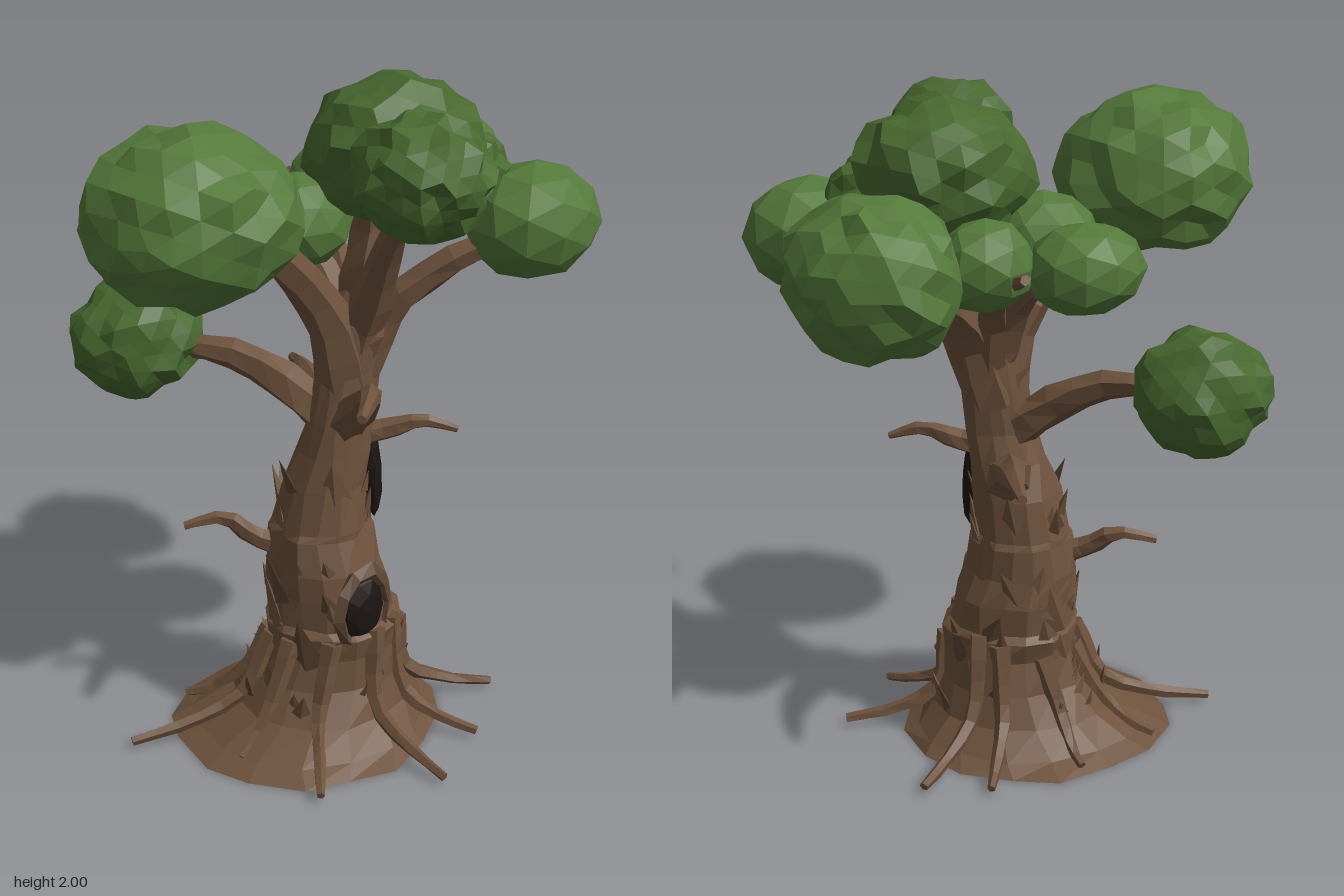
import * as THREE from 'three';

const V = (x, y, z) => new THREE.Vector3(x, y, z);
const mat = (color) => new THREE.MeshStandardMaterial({ color, flatShading: true, roughness: 1 });
const bark = mat(0x6e523c), darkBark = mat(0x5c4432), hollowMat = mat(0x1c1512);
const leafLight = mat(0x54793a), leafDark = mat(0x48692f);

// repeatable random numbers
let seed = 7;
const rand = () => (seed = (seed * 16807) % 2147483647) / 2147483647;

// same number for the same position, so shared corners stay together
function hash(v, k) {
  const s = Math.sin(Math.round(v.x * 500) * 1.27 + Math.round(v.y * 500) * 3.11 + Math.round(v.z * 500) * 7.45 + k) * 4375.85;
  return s - Math.floor(s);
}

// skin over a list of rings of points, closed at both ends
function loft(rings) {
  const n = rings[0].length, pos = [], idx = [];
  rings.forEach((r) => r.forEach((p) => pos.push(p.x, p.y, p.z)));
  for (let i = 0; i < rings.length - 1; i++) {
    for (let j = 0; j < n; j++) {
      const k = (j + 1) % n, a = i * n, b = a + n;
      idx.push(a + j, a + k, b + k, a + j, b + k, b + j);
    }
  }
  const top = (rings.length - 1) * n;
  for (let j = 1; j < n - 1; j++) idx.push(0, j + 1, j, top, top + j, top + j + 1);
  let g = new THREE.BufferGeometry();
  g.setAttribute('position', new THREE.Float32BufferAttribute(pos, 3));
  g.setIndex(idx);
  g = g.toNonIndexed();
  g.computeVertexNormals();
  return g;
}

// tapering bent limb through a few points
function limb(points, r0, r1, sides = 6, steps = 7) {
  const curve = new THREE.CatmullRomCurve3(points.map((p) => V(...p)));
  const f = curve.computeFrenetFrames(steps);
  const rings = [];
  for (let i = 0; i <= steps; i++) {
    const c = curve.getPointAt(i / steps), r = THREE.MathUtils.lerp(r0, r1, i / steps);
    rings.push(Array.from({ length: sides }, (_, j) => {
      const a = (j / sides) * Math.PI * 2, q = r * (0.85 + 0.3 * rand());
      const p = c.clone().addScaledVector(f.normals[i], Math.cos(a) * q).addScaledVector(f.binormals[i], Math.sin(a) * q);
      p.y = Math.max(p.y, 0);
      return p;
    }));
  }
  return loft(rings);
}

// trunk sections: y, centre x, centre z, radius x, radius z
const SECTIONS = [
  [0, -0.08, 0.04, 0.42, 0.40], [0.03, -0.07, 0.05, 0.37, 0.35], [0.1, -0.04, 0.06, 0.285, 0.265],
  [0.19, -0.01, 0.065, 0.23, 0.215], [0.29, -0.005, 0.08, 0.205, 0.2], [0.36, -0.01, 0.08, 0.21, 0.215],
  [0.38, -0.01, 0.075, 0.19, 0.19], [0.47, -0.02, 0.065, 0.185, 0.195], [0.55, -0.03, 0.055, 0.165, 0.17],
  [0.65, -0.025, 0.045, 0.155, 0.155], [0.67, -0.025, 0.045, 0.145, 0.145], [0.8, -0.01, 0.05, 0.135, 0.125],
  [0.9, 0.01, 0.07, 0.118, 0.105], [1.0, 0.025, 0.08, 0.11, 0.09], [1.15, 0.05, 0.08, 0.1, 0.088],
  [1.3, 0.07, 0.09, 0.1, 0.088], [1.4, 0.09, 0.1, 0.06, 0.06],
];
function trunkPoint(y, a, k = 1) {
  let i = 0;
  while (i < SECTIONS.length - 2 && SECTIONS[i + 1][0] < y) i++;
  const A = SECTIONS[i], B = SECTIONS[i + 1], t = (y - A[0]) / (B[0] - A[0]);
  const [cx, cz, rx, rz] = [1, 2, 3, 4].map((n) => THREE.MathUtils.lerp(A[n], B[n], t));
  return V(cx + Math.sin(a) * rx * k, y, cz + Math.cos(a) * rz * k);
}

// main and side branches: points, start radius, end radius
const BRANCHES = {
  limbLeft: [[[0.03, 1.1, 0.08], [-0.04, 1.33, 0.08], [-0.2, 1.53, 0.06], [-0.36, 1.64, 0.05]], 0.085, 0.04],
  limbRight: [[[0.07, 1.1, 0.07], [0.15, 1.32, 0.05], [0.3, 1.46, -0.03], [0.5, 1.56, -0.12]], 0.08, 0.04],
  limbCentre: [[[0.07, 1.2, 0.09], [0.1, 1.42, 0.11], [0.14, 1.7, 0.12]], 0.09, 0.06],
  limbFrontRight: [[[0.08, 1.15, 0.1], [0.14, 1.34, 0.16], [0.25, 1.46, 0.27], [0.4, 1.55, 0.38]], 0.07, 0.035],
  limbFront: [[[0.05, 1.2, 0.1], [0.05, 1.4, 0.18], [0, 1.6, 0.3], [-0.05, 1.75, 0.42]], 0.07, 0.03],
  limbBack: [[[0.06, 1.2, 0.07], [0.05, 1.4, -0.02], [0.03, 1.52, -0.16], [0.02, 1.57, -0.3]], 0.065, 0.03],
  limbBackRight: [[[0.08, 1.2, 0.06], [0.14, 1.4, -0.05], [0.22, 1.52, -0.22], [0.26, 1.6, -0.4]], 0.06, 0.015],
  branchFront: [[[0, 0.98, 0.1], [-0.04, 1.1, 0.24], [-0.12, 1.18, 0.34], [-0.25, 1.18, 0.44]], 0.065, 0.014],
  branchBackLeft: [[[0, 1.0, 0.05], [-0.07, 1.09, -0.06], [-0.16, 1.17, -0.18], [-0.3, 1.18, -0.4]], 0.07, 0.025],
  branchBackRight: [[[0.02, 0.84, 0.04], [0.1, 0.91, -0.08], [0.19, 0.98, -0.23], [0.27, 0.98, -0.4]], 0.08, 0.014],
  branchFrontRight: [[[0.05, 0.93, 0.1], [0.14, 0.96, 0.18], [0.2, 0.98, 0.24], [0.28, 0.95, 0.31]], 0.045, 0.01],
  branchLowLeft: [[[-0.1, 0.58, 0], [-0.18, 0.61, -0.07], [-0.24, 0.67, -0.15], [-0.34, 0.65, -0.22]], 0.045, 0.012],
};

// root tips: x, z
const ROOTS = [[0.46, -0.16], [0.45, 0.33], [-0.05, 0.6], [-0.6, -0.18], [0, -0.32],
  [-0.38, 0.42], [0.2, 0.5], [0.3, -0.28], [-0.42, 0.12], [-0.3, -0.28]];

// leaf clumps: x, y, z, radii, roughness, material
const CLUMPS = [
  [-0.51, 1.715, 0.05, 0.31, 0.25, 0.3, 0.14, leafLight], [-0.31, 1.195, -0.445, 0.215, 0.19, 0.2, 0.16, leafDark],
  [0.02, 1.58, -0.335, 0.175, 0.13, 0.15, 0.05, leafLight], [0.58, 1.6, -0.155, 0.24, 0.235, 0.28, 0.16, leafLight],
  [0.27, 1.6, -0.22, 0.14, 0.13, 0.13, 0.05, leafLight], [0.19, 1.78, 0.12, 0.27, 0.225, 0.28, 0.16, leafDark],
  [-0.05, 1.815, 0.45, 0.2, 0.175, 0.2, 0.2, leafDark], [0.455, 1.585, 0.415, 0.21, 0.17, 0.185, 0.05, leafLight],
  [-0.05, 1.59, -0.03, 0.165, 0.14, 0.155, 0.05, leafLight], [0.33, 1.7, 0.22, 0.17, 0.16, 0.18, 0.2, leafDark],
];

export function createModel() {
  const tree = new THREE.Group();
  tree.name = 'tree';
  const add = (name, geo, material, parent = tree) => {
    const m = new THREE.Mesh(geo, material);
    m.name = name;
    parent.add(m);
    return m;
  };
  const group = (name) => {
    const g = new THREE.Group();
    g.name = name;
    tree.add(g);
    return g;
  };

  // trunk with flared foot
  add('trunk', loft(SECTIONS.map(([y]) => Array.from({ length: 16 }, (_, j) =>
    trunkPoint(y, (j / 16) * Math.PI * 2 + (rand() - 0.5) * 0.12, 0.95 + rand() * 0.1)))), bark);

  // roots run down the trunk and out along the ground
  const roots = group('roots');
  ROOTS.forEach(([x, z], i) => {
    const a = Math.atan2(x + 0.02, z - 0.06), h = 0.26 + 0.12 * rand();
    const p = trunkPoint(h, a, 0.96), q = trunkPoint(0.13, a, 1);
    const mid = V(x, 0.05, z).lerp(q, 0.5);
    add('root' + (i + 1), limb([p.toArray(), q.toArray(), [mid.x, 0.055, mid.z], [x, 0.025, z]], 0.034, 0.014, 5, 8), bark, roots);
  });

  // bark chips, thin wedges lying against the trunk
  const chips = group('barkChips');
  for (let i = 0; i < 56; i++) {
    const y = 0.12 + 0.75 * Math.pow(rand(), 1.4), a = rand() * Math.PI * 2;
    if (y > 0.28 && y < 0.62 && Math.abs(Math.sin(a / 2)) < 0.3) continue;
    const s = 0.035 + 0.035 * rand();
    const chip = add('barkChip', new THREE.ConeGeometry(s, s * 2.6, 4), i % 3 ? bark : darkBark, chips);
    chip.position.copy(trunkPoint(y, a, 0.98));
    chip.scale.z = 0.4;
    chip.rotation.set(0.12 + rand() * 0.25, a, (rand() - 0.5) * 0.9, 'YXZ');
  }

  // branches
  const branches = group('branches');
  for (const [name, [points, r0, r1]] of Object.entries(BRANCHES)) add(name, limb(points, r0, r1), bark, branches);

  // round hollow with a ragged rim, and a narrow slit
  const hollow = add('hollow', new THREE.IcosahedronGeometry(1, 1), hollowMat);
  hollow.position.set(-0.045, 0.44, 0.235);
  hollow.scale.set(0.085, 0.115, 0.05);
  const rimGeo = new THREE.TorusGeometry(0.095, 0.022, 4, 10);
  const rp = rimGeo.attributes.position, v = V(0, 0, 0);
  for (let i = 0; i < rp.count; i++) {
    v.fromBufferAttribute(rp, i).multiplyScalar(0.92 + 0.2 * hash(v, 3));
    rp.setXYZ(i, v.x, v.y * 1.2, v.z);
  }
  add('hollowRim', rimGeo, darkBark).position.set(-0.045, 0.44, 0.245);
  const slit = add('slit', new THREE.IcosahedronGeometry(1, 1), hollowMat);
  slit.position.set(0.085, 0.84, 0.14);
  slit.scale.set(0.035, 0.17, 0.035);
  slit.rotation.set(-0.12, 0.7, 0.05);

  // leaf clumps, dented balls
  const leaves = group('leaves');
  CLUMPS.forEach(([x, y, z, rx, ry, rz, rough, material], i) => {
    const geo = new THREE.IcosahedronGeometry(1, rough > 0.1 ? 3 : 1);
    const p = geo.attributes.position;
    for (let k = 0; k < p.count; k++) {
      v.fromBufferAttribute(p, k);
      const dent = 1.03 - rough * hash(v, i);
      p.setXYZ(k, v.x * dent, v.y * dent, v.z * dent);
    }
    geo.rotateY(i * 1.3);
    geo.scale(rx, ry, rz);
    geo.computeVertexNormals();
    add('leafClump' + (i + 1), geo, material, leaves).position.set(x, y, z);
  });
  return tree;
}
